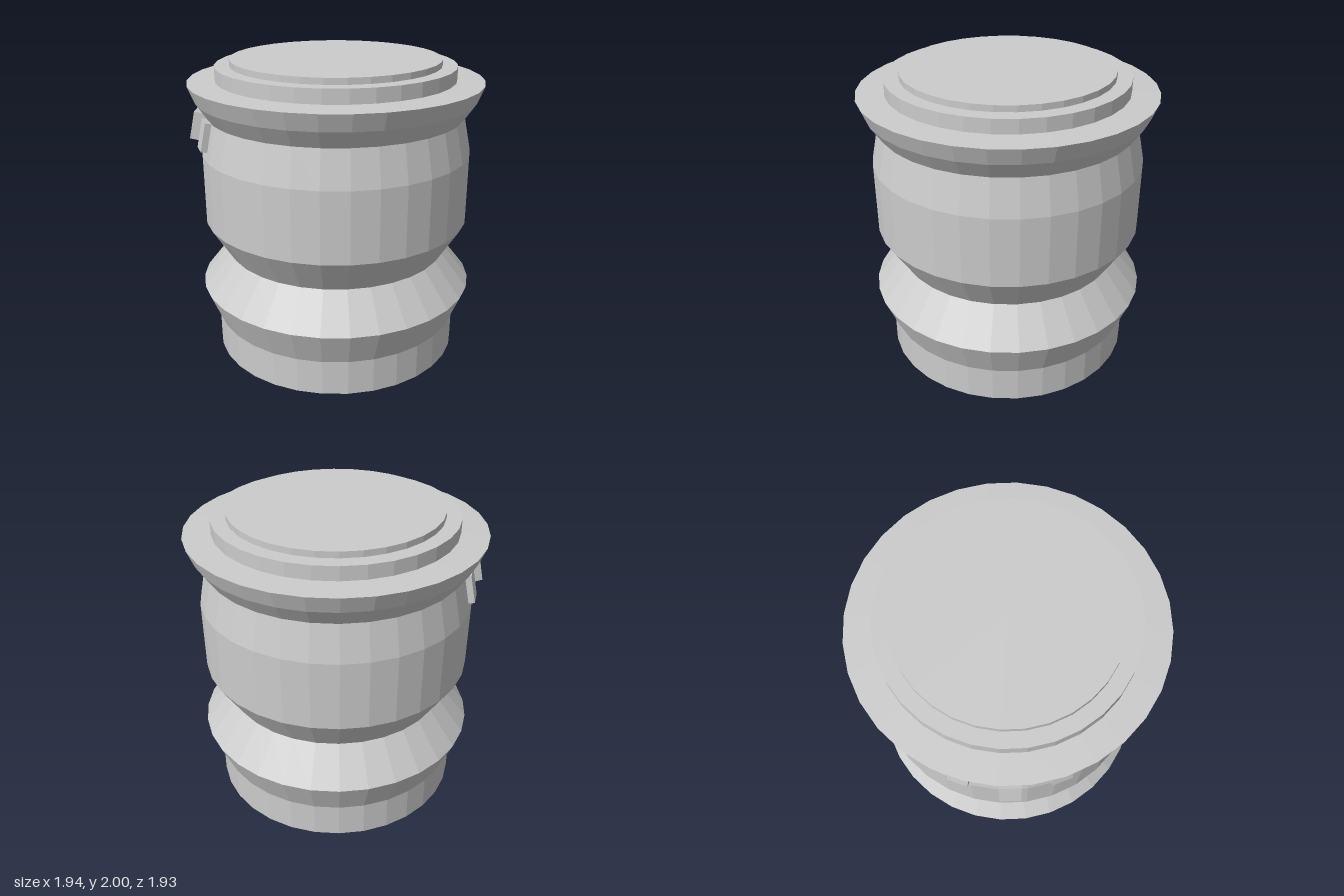
import * as THREE from 'three';

export function createModel() {
  const model = new THREE.Group();
  model.name = 'container';
  const material = new THREE.MeshStandardMaterial({ color: 0xcccccc, flatShading: true });
  const rad = THREE.MathUtils.degToRad;
  const axisX = 0.004;

  // Faceted solid of revolution from [radius, height] points, bottom to top
  function turned(name, profile) {
    const points = profile.map(([r, y]) => new THREE.Vector2(r, y));
    const mesh = new THREE.Mesh(new THREE.LatheGeometry(points, 32), material);
    mesh.name = name;
    mesh.position.x = axisX;
    model.add(mesh);
  }

  // Foot, flared base, waist, barrel and flared rim
  turned('body', [
    [0, 0], [0.84, 0], [0.84, 0.237], [0.935, 0.47], [0.75, 0.703],
    [0.895, 0.938], [0.895, 1.4], [0.845, 1.638], [0.92, 1.75],
    [0.965, 1.862], [0.78, 1.87], [0, 1.87],
  ]);

  // Stepped lid
  turned('lid', [
    [0, 1.86], [0.785, 1.86], [0.785, 1.96], [0.688, 1.96], [0.688, 2], [0, 2],
  ]);

  // Row of small tabs leaning with the shoulder; the middle one sticks out furthest
  const tabs = [
    { name: 'backTab', angle: 27, outer: 0.9 },
    { name: 'middleTab', angle: 7, outer: 0.957 },
    { name: 'frontTab', angle: -13, outer: 0.9 },
  ];
  const depth = 0.14;
  for (const { name, angle, outer } of tabs) {
    const holder = new THREE.Group();
    holder.name = name;
    holder.position.set(axisX, 1.538, 0);
    holder.rotation.y = Math.PI - rad(angle);
    const tab = new THREE.Mesh(new THREE.BoxGeometry(depth, 0.187, 0.13), material);
    tab.name = name + 'Block';
    tab.position.x = outer - depth / 2;
    tab.rotation.z = rad(12);
    holder.add(tab);
    model.add(holder);
  }

  return model;
}
